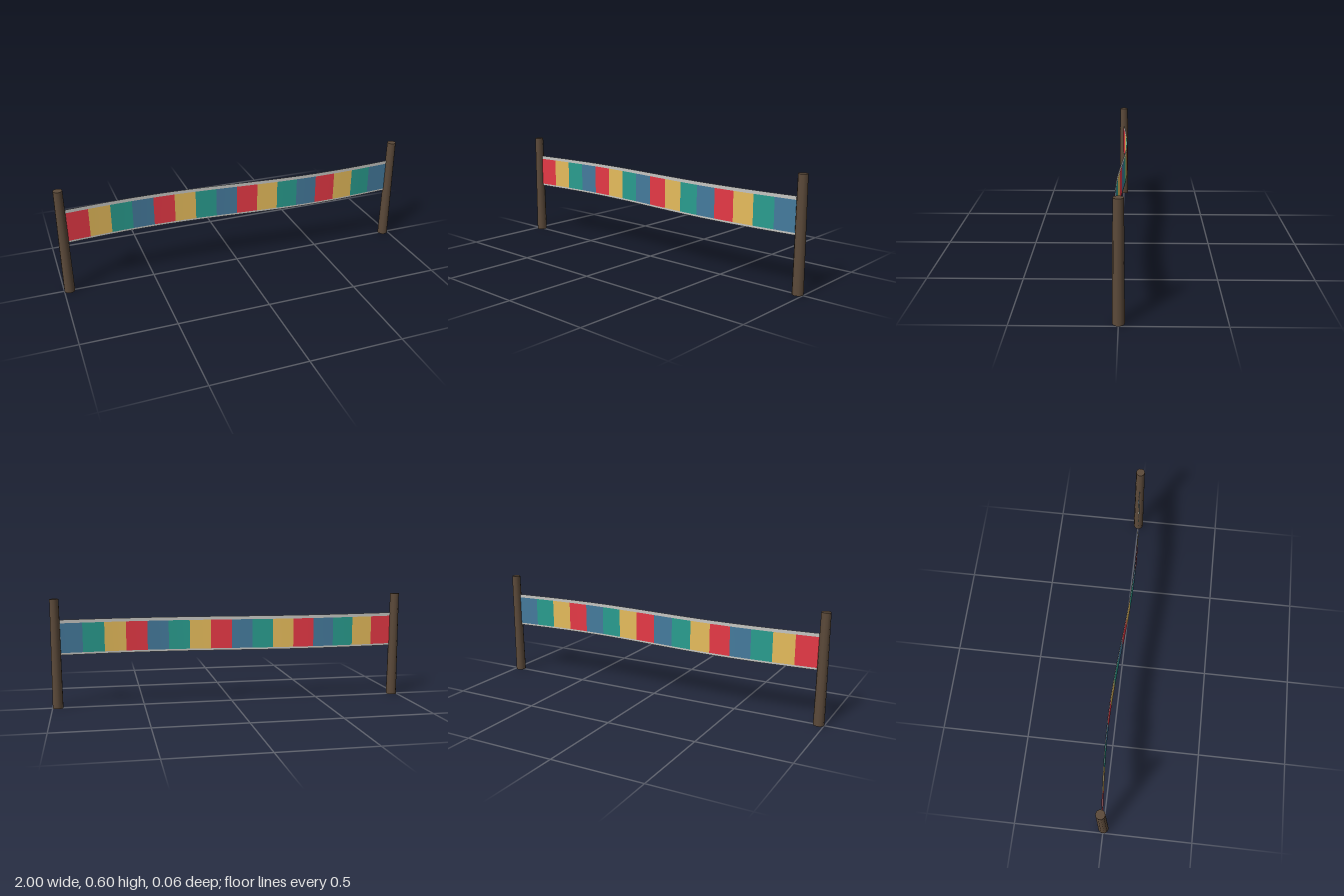
import * as THREE from 'three';

const mat = (name, color, extra = {}) => new THREE.MeshStandardMaterial({ name, color, ...extra });

export function createModel() {
  const group = new THREE.Group();
  group.name = 'bannerFence';
  const wood = mat('dark wood', 0x5c4a3a);
  const both = { side: THREE.DoubleSide };
  const hem = mat('pale grey cloth', 0xc6c6c2, both);
  const cloth = [
    mat('red cloth', 0xe63946, both),
    mat('yellow cloth', 0xe6bc5c, both),
    mat('teal cloth', 0x2a9d8f, both),
    mat('blue cloth', 0x457b9d, both),
  ];

  // Upright sheet that follows the gentle S-wave of the banner
  const HALF = 0.945;
  const wave = (x) => 0.025 * Math.sin((Math.PI * x) / HALF);
  function sheet(name, x0, x1, y0, y1, offset, segments, material) {
    const geo = new THREE.PlaneGeometry(x1 - x0, y1 - y0, segments, 1);
    geo.translate((x0 + x1) / 2, (y0 + y1) / 2, 0);
    const pos = geo.attributes.position;
    for (let i = 0; i < pos.count; i++) pos.setZ(i, wave(pos.getX(i)) + offset);
    geo.computeVertexNormals();
    const mesh = new THREE.Mesh(geo, material);
    mesh.name = name;
    return mesh;
  }

  // Tapered posts
  for (const side of [-1, 1]) {
    const post = new THREE.Mesh(new THREE.CylinderGeometry(0.025, 0.0295, 0.6, 10), wood);
    post.position.set(side * 0.971, 0.3, 0);
    post.name = side > 0 ? 'leftPost' : 'rightPost';
    group.add(post);
  }

  // Backing cloth, showing as hems above and below the panels
  const banner = new THREE.Group();
  banner.name = 'banner';
  banner.add(sheet('backing', -HALF - 0.015, HALF + 0.015, 0.293, 0.487, 0, 64, hem));

  // Coloured panels on both faces
  const count = 16;
  const width = (2 * HALF) / count;
  for (let i = 0; i < count; i++) {
    const x0 = -HALF + i * width;
    for (const face of [-1, 1]) {
      const name = face > 0 ? 'frontPanel' : 'backPanel';
      banner.add(sheet(name, x0, x0 + width, 0.305, 0.468, face * 0.002, 4, cloth[i % 4]));
    }
  }
  group.add(banner);
  return group;
}
